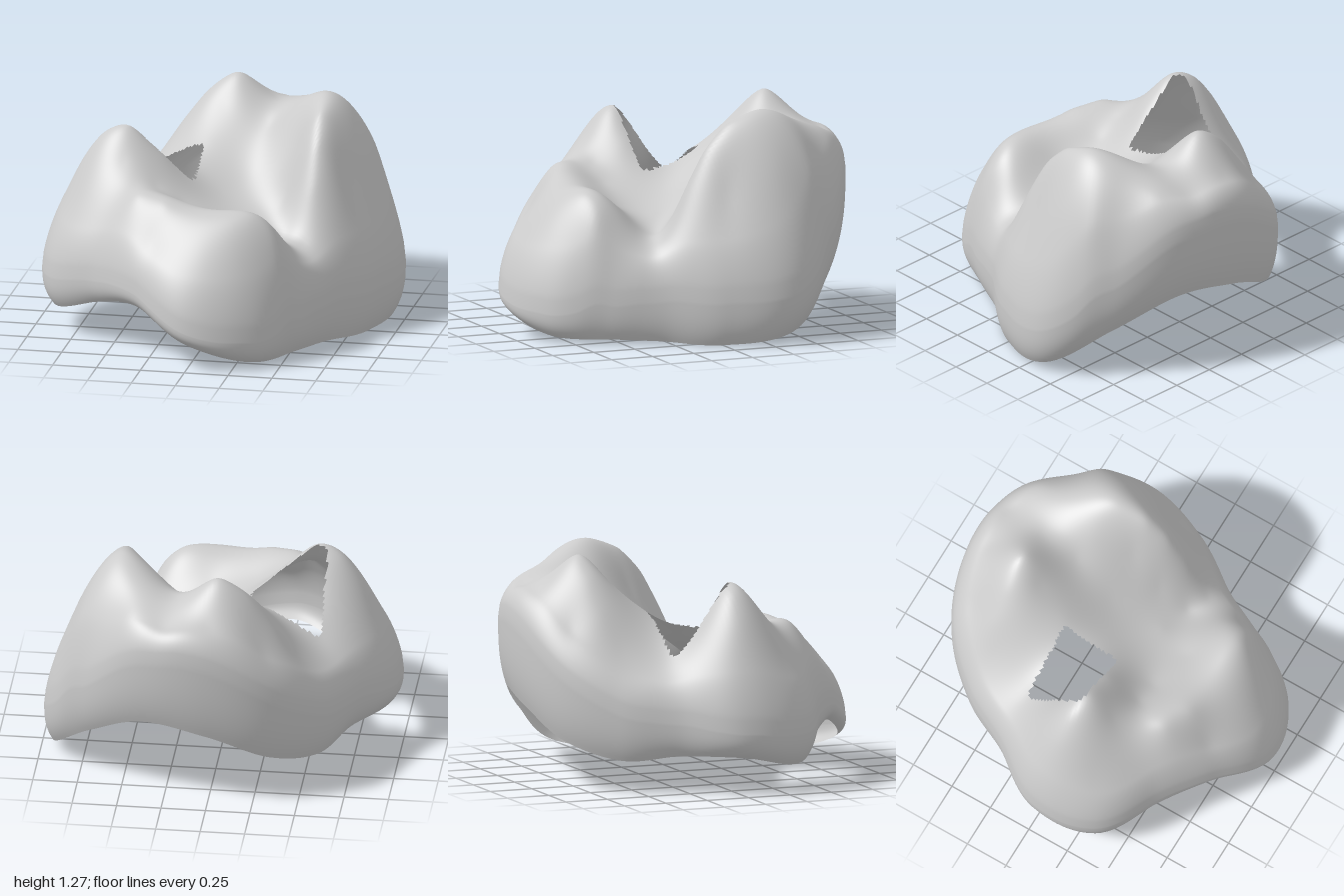
import * as THREE from 'three';
import { mergeVertices } from 'three/addons/utils/BufferGeometryUtils.js';

// Values every 22.5 degrees, from +x towards +z
const OUTLINE = [0.89, 0.758, 0.8, 0.945, 0.99, 0.865, 0.85, 0.985, 0.97, 0.84, 0.877, 0.955, 0.99, 1.015, 1.025, 1.055];
const WIDEST = [0.25, 0.25, 0.22, 0.16, 0.22, 0.38, 0.38, 0.33, 0.35, 0.4, 0.45, 0.65, 0.88, 0.88, 0.6, 0.3];
const RIM = [0, 0.01, 0.02, 0.03, 0.14, 0.29, 0.25, 0.15, 0.21, 0.21, 0.18, 0.27, 0.43, 0.48, 0.3, 0.06];
const SHOULDER = 0.15;

// Landmarks of the chewing surface as [x, z, height]
const BACK_CUSPS = [
  [-0.02, -0.62, 1.27], [-0.2, -0.62, 1.15], [-0.35, -0.62, 0.95], [-0.46, -0.55, 0.79],
  [0, -0.85, 1.08], [0.25, -0.87, 1.06], [-0.3, -0.78, 0.9], [0.2, -0.62, 1.13],
  [-0.08, -0.48, 1.13], [0.2, -0.4, 1.04], [0.53, -0.35, 1.26], [0.55, -0.6, 1.14],
  [0.45, -0.78, 1.09], [0.53, -0.15, 1.19], [0.55, -0.02, 1.06], [0.55, 0.1, 0.84],
  [0.78, -0.35, 0.95], [0.77, -0.58, 0.9], [0.72, -0.08, 0.83], [0.33, -0.37, 1.13],
];
const RIGHT_CUSP = [
  [-0.5, 0.08, 1.14], [-0.5, 0.25, 0.98], [-0.4, 0.38, 0.88], [-0.62, 0.4, 0.77],
  [-0.78, 0.3, 0.72], [-0.77, 0.05, 0.92], [-0.65, 0.05, 1.08], [-0.3, 0.1, 0.97],
  [-0.3, 0.3, 0.86], [-0.56, -0.27, 0.74], [-0.4, -0.1, 0.9], [-0.55, -0.1, 0.93],
];
const FRONT_RIDGE = [
  [0.3, 0.61, 0.8], [0.05, 0.66, 0.79], [-0.2, 0.58, 0.84], [-0.37, 0.51, 0.86],
  [0.4, 0.45, 0.7], [0.44, 0.6, 0.66], [0.05, 0.82, 0.62], [0.25, 0.78, 0.61], [-0.25, 0.72, 0.64],
];
const BASIN = [
  [0, 0, 0.76], [0.2, 0.15, 0.65], [0.4, 0.2, 0.58], [0.53, 0.25, 0.56], [-0.15, -0.1, 0.86],
  [-0.13, -0.29, 0.96], [0.15, -0.15, 0.82], [0.4, -0.15, 1.01], [0.38, 0.03, 0.76],
  [-0.15, 0.3, 0.78], [0.12, 0.36, 0.71],
];

// Smooth closed interpolation of a table at turn u (0..1)
function around(table, u) {
  const n = table.length, f = u * n, i = Math.floor(f), t = f - i;
  const [a, b, c, d] = [-1, 0, 1, 2].map((k) => table[(i + k + n) % n]);
  return b + 0.5 * t * (c - a + t * (2 * a - 5 * b + 4 * c - d + t * (3 * (b - c) + d - a)));
}

// Thin-plate surface through the landmarks
function thinPlate(points) {
  const n = points.length, N = n + 3;
  const kernel = (dx, dz) => {
    const q = dx * dx + dz * dz;
    return q < 1e-12 ? 0 : q * Math.log(q);
  };
  const m = Array.from({ length: N }, () => new Array(N + 1).fill(0));
  points.forEach(([x, z, y], i) => {
    points.forEach((p, j) => { m[i][j] = kernel(x - p[0], z - p[1]); });
    m[i][i] += 0.002;
    [1, x, z].forEach((v, k) => { m[i][n + k] = v; m[n + k][i] = v; });
    m[i][N] = y;
  });
  for (let c = 0; c < N; c++) {
    let best = c;
    for (let r = c + 1; r < N; r++) if (Math.abs(m[r][c]) > Math.abs(m[best][c])) best = r;
    [m[c], m[best]] = [m[best], m[c]];
    for (let r = 0; r < N; r++) {
      if (r === c) continue;
      const f = m[r][c] / m[c][c];
      if (f !== 0) for (let k = c; k <= N; k++) m[r][k] -= f * m[c][k];
    }
  }
  const w = m.map((row, i) => row[N] / row[i]);
  return (x, z) => points.reduce((s, p, i) => s + w[i] * kernel(x - p[0], z - p[1]),
    w[n] + w[n + 1] * x + w[n + 2] * z);
}

function crownGeometry() {
  const marks = [...BACK_CUSPS, ...RIGHT_CUSP, ...FRONT_RIDGE, ...BASIN];
  for (let i = 0; i < 32; i++) {
    const u = i / 32, a = u * Math.PI * 2, r = around(OUTLINE, u);
    marks.push([r * Math.cos(a), r * Math.sin(a), around(WIDEST, u) + SHOULDER]);
  }
  const height = thinPlate(marks);

  const turns = 192, topRows = 64, wallRows = 12, rows = topRows + wallRows;
  const pos = [], index = [];
  for (let j = 0; j <= rows; j++) {
    // Rows run from the middle to the widest line, closer together at the edge
    const t = Math.min(j / topRows, 1), s = 1.25 * t - 0.25 * t * t * t;
    const v = Math.max(0, (j - topRows) / wallRows);
    for (let i = 0; i <= turns; i++) {
      const u = (i % turns) / turns, a = u * Math.PI * 2;
      const r = around(OUTLINE, u) * s;
      const x = r * Math.cos(a), z = r * Math.sin(a);
      const e = Math.max(0, (s - 0.9) / 0.1);
      const y = height(x, z) - SHOULDER * (1 - Math.sqrt(Math.max(0, 1 - e * e)));
      const inset = 1 - 0.05 * v * v * v;
      pos.push(x * inset, THREE.MathUtils.lerp(y, around(RIM, u), v), z * inset);
    }
  }
  // Rectangular opening with a ragged edge
  const inOpening = (k) => {
    const x = pos[k * 3], z = pos[k * 3 + 2];
    return x > -0.56 && x < -0.15 && z > -0.27 && z < 0.07;
  };
  for (let j = 0; j < rows; j++) {
    for (let i = 0; i < turns; i++) {
      const a = j * (turns + 1) + i, b = a + 1, c = a + turns + 1, d = c + 1;
      if ([a, b, c, d].filter(inOpening).length > 1) continue;
      if (j > 0) index.push(a, b, c);
      index.push(b, d, c);
    }
  }
  let geometry = new THREE.BufferGeometry();
  geometry.setAttribute('position', new THREE.Float32BufferAttribute(pos, 3));
  geometry.setIndex(index);
  geometry = mergeVertices(geometry, 1e-5);
  geometry.computeVertexNormals();
  return geometry;
}

export function createModel() {
  const group = new THREE.Group();
  group.name = 'molarCrown';
  const material = new THREE.MeshStandardMaterial({ color: 0xcccccc, side: THREE.DoubleSide });
  const crown = new THREE.Mesh(crownGeometry(), material);
  crown.name = 'crownShell';
  group.add(crown);
  return group;
}
